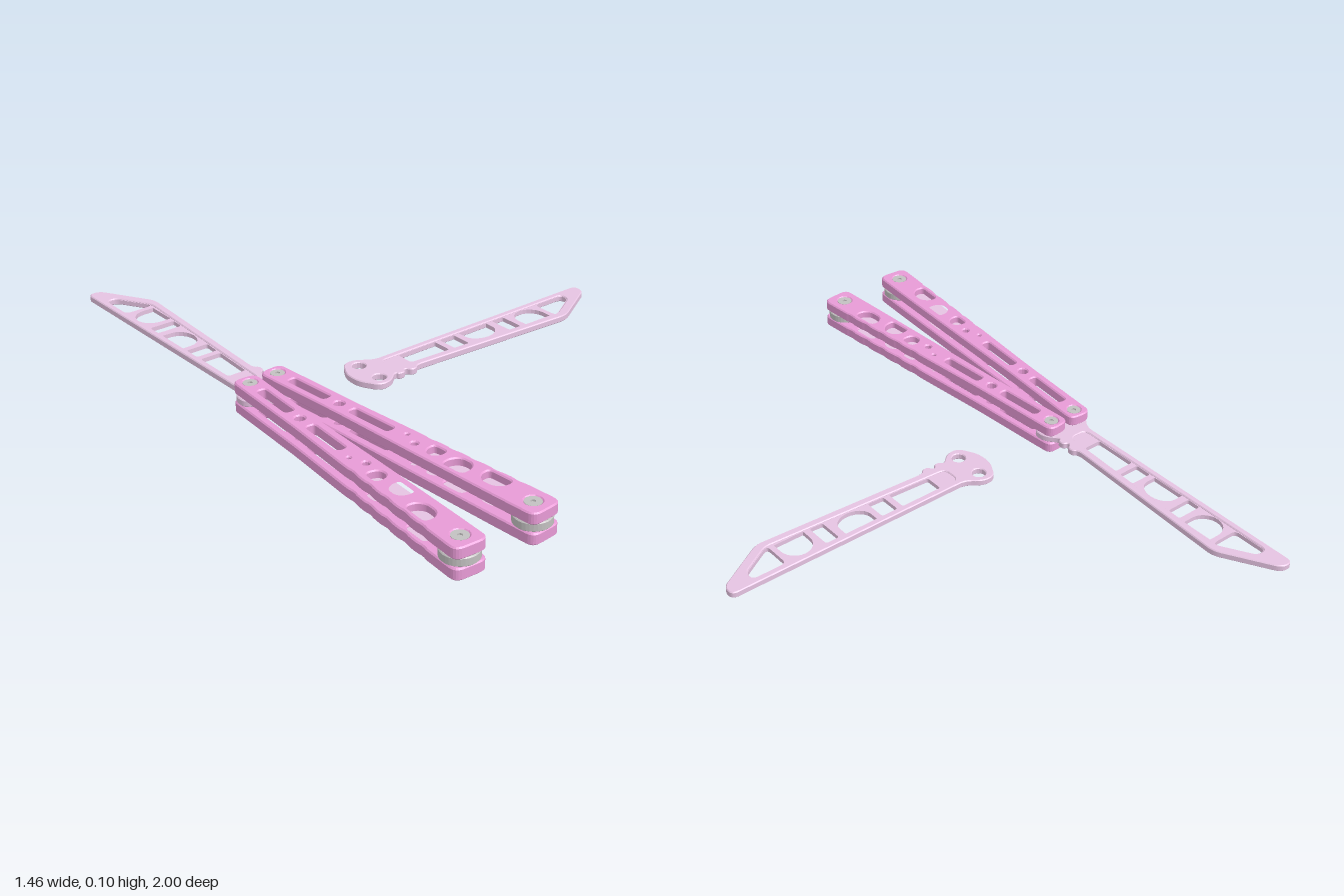
import * as THREE from 'three';

const mat = (name, color) => {
  const m = new THREE.MeshStandardMaterial({ color });
  m.name = name;
  return m;
};

// Closed polygon with softened corners; r is the longest cut at a corner
function rounded(points, r, Type = THREE.Shape) {
  const s = new Type();
  const n = points.length;
  const v = points.map(p => new THREE.Vector2(...p));
  v.forEach((p, i) => {
    const a = v[(i + n - 1) % n], b = v[(i + 1) % n];
    const cut = q => {
      const d = q.clone().sub(p);
      return p.clone().add(d.setLength(Math.min(r, d.length() * 0.48)));
    };
    const s0 = cut(a), s1 = cut(b);
    if (i === 0) s.moveTo(s0.x, s0.y); else s.lineTo(s0.x, s0.y);
    s.quadraticCurveTo(p.x, p.y, s1.x, s1.y);
  });
  s.closePath();
  return s;
}

const circle = (x, y, r, Type = THREE.Path) => {
  const p = new Type();
  p.absarc(x, y, r, 0, Math.PI * 2, false);
  return p;
};

// Flat plate lying in the xz plane between heights y0 and y1 (shape y becomes z)
function plate(name, shape, y0, y1, material, bevel = 0, curveSegments = 8) {
  const g = new THREE.ExtrudeGeometry(shape, {
    depth: y1 - y0 - 2 * bevel, bevelEnabled: bevel > 0, bevelThickness: bevel,
    bevelSize: bevel, bevelOffset: -bevel, bevelSegments: 1, curveSegments,
  });
  g.rotateX(Math.PI / 2);
  const mesh = new THREE.Mesh(g, material);
  mesh.name = name;
  mesh.position.y = y1 - bevel;
  return mesh;
}

// Skeleton blade: x runs from the pivots to the tip, height centred on zero
function makeBlade(name, material) {
  const group = new THREE.Group();
  group.name = name;
  const outline = rounded([
    [-0.066, -0.028], [-0.03, -0.092], [0.015, -0.092], [0.06, -0.055], [0.93, -0.055],
    [0.93, -0.012], [0.75, 0.092], [0.14, 0.058], [0.13, 0.074], [0.108, 0.074],
    [0.1, 0.058], [0.09, 0.057], [0.084, 0.072], [0.062, 0.072], [0.054, 0.056],
    [0.015, 0.092], [-0.03, 0.092], [-0.066, 0.028],
  ], 0.025);
  const slot = e => [
    [0.073 - e, -0.034 - e], [0.845 + e, -0.034 - e], [0.845 + e, 0.002 + e],
    [0.735 + e, 0.066 + e], [0.073 - e, 0.029 + e],
  ];
  outline.holes.push(rounded(slot(0), 0.022, THREE.Path));
  for (const v of [-0.05, 0.05]) outline.holes.push(circle(0, v, 0.022));
  group.add(plate('bladeFrame', outline, -0.011, 0.011, material, 0.003));

  // Thinner web with windows between the crossbars
  const web = rounded(slot(0.007), 0.022);
  const lo = -0.032, hi = u => 0.026 + (u - 0.08) * 0.057;
  for (const [a, b] of [[0.142, 0.29], [0.311, 0.369], [0.533, 0.58]]) {
    web.holes.push(rounded([[a, lo], [b, lo], [b, hi(b)], [a, hi(a)]], 0.008, THREE.Path));
  }
  // Half-round windows, arched towards alternate edges
  for (const [a, b, side] of [[0.39, 0.507, 1], [0.602, 0.708, -1]]) {
    const mid = (a + b) / 2, r = (b - a) / 2, top = hi(mid) - 0.002;
    const base = side > 0 ? lo : top, crown = side > 0 ? top : lo;
    const spring = base + (crown - base) * 0.4;
    const pts = [[a, base], [b, base]];
    for (let i = 0; i <= 12; i++) {
      const t = Math.PI * i / 12;
      pts.push([mid + r * Math.cos(t), spring + (crown - spring) * Math.sin(t)]);
    }
    web.holes.push(new THREE.Path(pts.map(p => new THREE.Vector2(...p))));
  }
  web.holes.push(rounded([[0.726, lo], [0.843, lo], [0.843, 0], [0.737, 0.062], [0.726, 0.058]],
    0.018, THREE.Path));
  group.add(plate('bladeWeb', web, -0.007, 0.007, material));
  return group;
}

// D-shaped cut-out between a flat side and a round side
function dHole(flat, tip, s, r) {
  const x = k => flat + (tip - flat) * k;
  return rounded([
    [flat, s + r], [flat, s - r], [x(0.6), s - r], [tip, s - r * 0.5],
    [tip, s + r * 0.5], [x(0.6), s + r],
  ], 0.014, THREE.Path);
}

const PIVOT = 0, END = 1.014;

// Handle: z runs from the pivot to the far screw; m = 1 puts the outer edge on -x
function makeHandle(name, m, { pink, lavender, steel }) {
  const group = new THREE.Group();
  group.name = name;

  // Scale outline with shallow grip grooves along the outer edge
  const grooves = [];
  for (let i = 0; i < 5; i++) {
    const s = 0.58 + i * 0.08, w = 0.046 + i * 0.0015;
    grooves.push([-w, s], [-w + 0.003, s + 0.015], [-w + 0.003, s + 0.03], [-w, s + 0.045]);
  }
  const scale = rounded([
    [0.053, 1.066], [0.052, 0.92], [0.047, 0.62], [0.04, 0.3], [0.041, -0.038],
    [-0.041, -0.038], [-0.04, 0.3], ...grooves, [-0.052, 0.95], [-0.053, 1.066],
  ].map(([x, s]) => [x * m, s]), 0.03);
  for (const [a, b] of [[0.06, 0.222], [0.324, 0.487]]) {
    scale.holes.push(rounded([[-0.015, a], [0.015, a], [0.015, b], [-0.015, b]], 0.012, THREE.Path));
  }
  scale.holes.push(
    circle(0, 0.272, 0.016), circle(-0.012 * m, 0.537, 0.006), circle(0.009 * m, 0.588, 0.011),
    dHole(-0.024 * m, 0.021 * m, 0.657, 0.025), dHole(0.031 * m, -0.027 * m, 0.753, 0.038),
    dHole(-0.034 * m, 0.018 * m, 0.87, 0.043),
    circle(0, PIVOT, 0.022), circle(0, END, 0.025),
  );
  const floor = rounded([[-0.036, 0.515], [0.036, 0.515], [0.041, 0.93], [-0.041, 0.93]], 0.01);

  for (const [side, y0, y1, f] of [['upper', 0.064, 0.1, 0.07], ['lower', 0.003, 0.039, 0.027]]) {
    group.add(plate(side + 'Scale', scale, y0, y1, pink, 0.004, 6));
    group.add(plate(side + 'PocketFloor', floor, f, f + 0.006, lavender));
  }

  // Screws with small hexagonal sockets
  for (const [s, r, label] of [[PIVOT, 0.022, 'pivot'], [END, 0.025, 'end']]) {
    const head = circle(0, s, r, THREE.Shape);
    const hex = Array.from({ length: 6 }, (_, i) =>
      [0.008 * Math.cos(i * Math.PI / 3), s + 0.008 * Math.sin(i * Math.PI / 3)]);
    head.holes.push(rounded(hex, 0.001, THREE.Path));
    group.add(plate(label + 'ScrewTop', head, 0.085, 0.098, steel));
    group.add(plate(label + 'ScrewBottom', head, 0.005, 0.018, steel));
    group.add(plate(label + 'Pin', circle(0, s, r - 0.002, THREE.Shape), 0.01, 0.093, steel));
  }

  // Spacer at the far end and washers either side of the blade
  group.add(plate('endSpacer', circle(0, END, 0.055, THREE.Shape), 0.038, 0.065, steel, 0.003, 16));
  for (const [y0, y1] of [[0.038, 0.042], [0.061, 0.065]]) {
    group.add(plate('pivotWasher', circle(0, PIVOT, 0.032, THREE.Shape), y0, y1, steel));
  }
  return group;
}

export function createModel() {
  const mats = {
    pink: mat('pink', 0xea9cd8),
    lavender: mat('lavender', 0xe5c3e1),
    steel: mat('steel', 0xc2c0c0),
  };
  const model = new THREE.Group();
  model.name = 'foldingTrainer';

  // Two handles spreading from the tang
  for (const m of [1, -1]) {
    const handle = makeHandle(m > 0 ? 'rightHandle' : 'leftHandle', m, mats);
    handle.position.set(-0.549 - m * 0.049, 0, -0.073);
    handle.rotation.y = -m * 0.074;
    model.add(handle);
  }

  // Fitted blade pointing back
  const blade = makeBlade('fittedBlade', mats.lavender);
  blade.position.set(-0.549, 0.0515, -0.072);
  blade.rotation.y = Math.PI / 2;
  model.add(blade);

  // Spare blade lying beside it
  const spare = makeBlade('spareBlade', mats.lavender);
  spare.position.set(-0.2, 0.016, -0.02);
  model.add(spare);
  return model;
}
